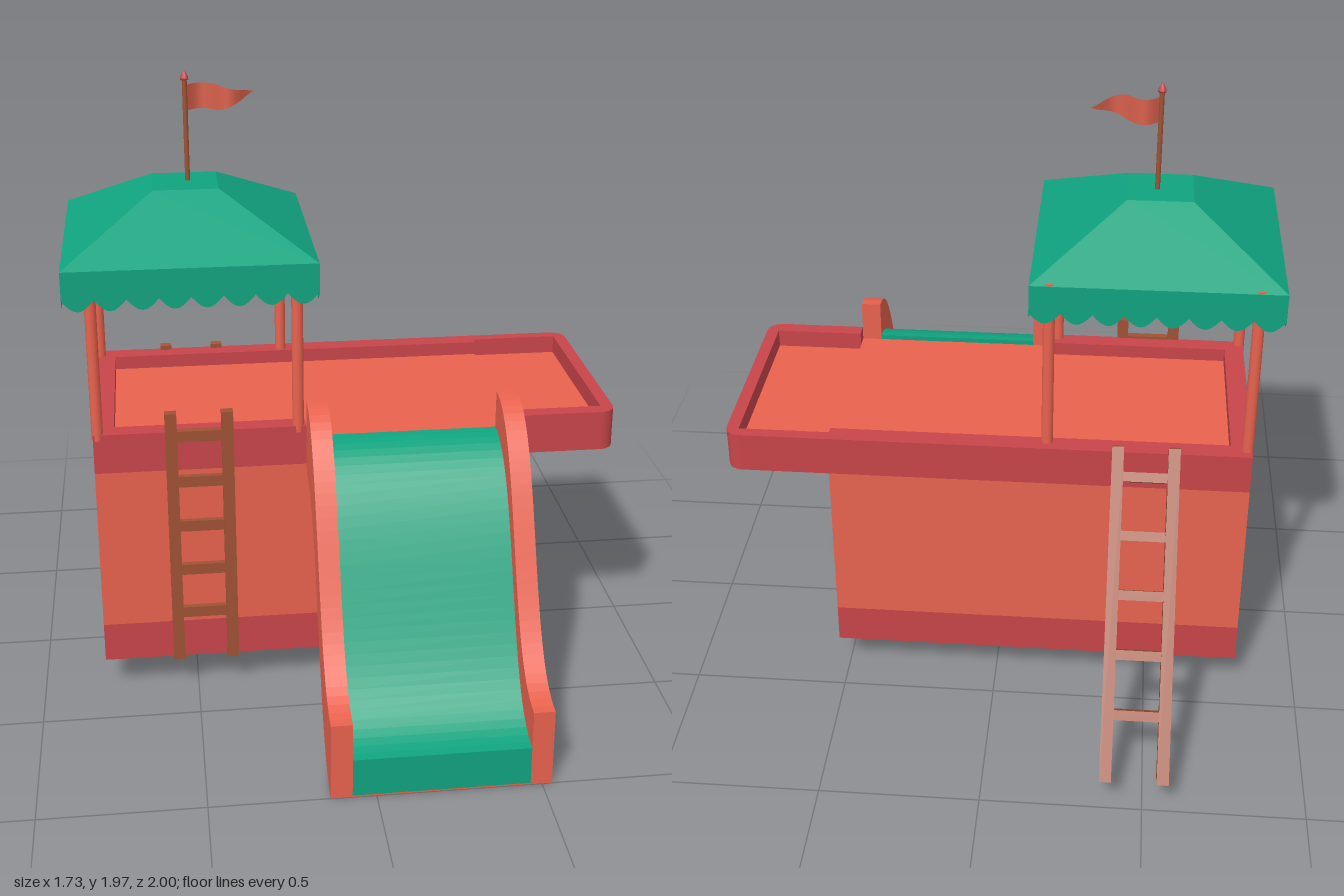
import * as THREE from 'three';

const mat = (color, extra = {}) => new THREE.MeshStandardMaterial({ color, ...extra });
const CORAL = mat(0xe8624e);
const RED = mat(0xc8454a);
const WOOD = mat(0xa05235);
const GREEN = mat(0x10a37f);
const CLOTH = mat(0x10a37f, { side: THREE.DoubleSide, flatShading: true });
const FLAG = mat(0xd9604c, { side: THREE.DoubleSide });

export function createModel() {
  const model = new THREE.Group();

  const add = (name, geometry, material, x = 0, y = 0, z = 0, parent = model) => {
    const mesh = new THREE.Mesh(geometry, material);
    mesh.name = name;
    mesh.position.set(x, y, z);
    parent.add(mesh);
    return mesh;
  };
  // Box given by its limits on each axis
  const box = (name, material, [x0, x1], [y0, y1], [z0, z1], parent) =>
    add(name, new THREE.BoxGeometry(x1 - x0, y1 - y0, z1 - z0), material,
      (x0 + x1) / 2, (y0 + y1) / 2, (z0 + z1) / 2, parent);
  // Side profile of [z, y] points, extruded from x0 to x1
  const extrudeX = (name, material, points, x0, x1, parent) => {
    const shape = new THREE.Shape(points.map(([z, y]) => new THREE.Vector2(-z, y)));
    const g = new THREE.ExtrudeGeometry(shape, { depth: x1 - x0, bevelEnabled: false });
    return add(name, g.rotateY(Math.PI / 2), material, x0, 0, 0, parent);
  };
  // Plan shape drawn in (x, -z), extruded upwards from y0 to y1
  const extrudeY = (name, material, shape, y0, y1) => {
    const g = new THREE.ExtrudeGeometry(shape, { depth: y1 - y0, bevelEnabled: false, curveSegments: 8 });
    return add(name, g.rotateX(-Math.PI / 2), material, 0, y0, 0);
  };

  // Tower body with an arched tunnel, on two red plinths
  const arch = [];
  for (let i = 0; i <= 24; i++) {
    const a = Math.PI * i / 24;
    arch.push([-0.03 - 0.22 * Math.cos(a), 0.42 + 0.22 * Math.sin(a)]);
  }
  extrudeX('towerBody', CORAL,
    [[-0.4, 0.78], [-0.4, 0.24], [-0.25, 0.24], ...arch, [0.19, 0.24], [0.33, 0.24], [0.33, 0.78]], -0.8, 0.53);
  box('backPlinth', RED, [-0.8, 0.53], [0.11, 0.24], [-0.4, -0.25]);
  box('frontPlinth', RED, [-0.8, 0.53], [0.11, 0.24], [0.19, 0.33]);

  // Deck with a parapet left open at the slide, and a rounded overhang
  const roundedEnd = (s) => {
    s.moveTo(0.53, -0.33);
    s.lineTo(0.81, -0.33);
    s.absarc(0.81, -0.28, 0.05, -Math.PI / 2, 0, false);
    s.lineTo(0.86, 0.35);
    s.absarc(0.81, 0.35, 0.05, 0, Math.PI / 2, false);
    return s;
  };
  const rim = roundedEnd(new THREE.Shape());
  [[-0.8, -0.4], [-0.8, 0.33], [-0.137, 0.33], [-0.137, 0.27], [-0.735, 0.27], [-0.735, -0.335],
    [0.53, -0.335], [0.53, -0.36], [0.82, -0.36], [0.82, 0.28], [0.53, 0.28]]
    .forEach(([x, z]) => rim.lineTo(x, -z));
  extrudeY('parapet', RED, rim, 0.78, 0.91);
  const plate = roundedEnd(new THREE.Shape());
  plate.lineTo(0.53, 0.4);
  extrudeY('overhangBase', RED, plate, 0.78, 0.8);
  box('deckFloor', CORAL, [-0.77, 0.53], [0.775, 0.865], [-0.37, 0.329]);
  box('overhangFloor', CORAL, [0.52, 0.83], [0.79, 0.85], [-0.37, 0.3]);

  // Slide: one S curve, shifted down for each layer
  const curve = new THREE.CubicBezierCurve(
    new THREE.Vector2(0.333, 1), new THREE.Vector2(0.65, 1),
    new THREE.Vector2(0.68, 0.25), new THREE.Vector2(1, 0.25)).getPoints(32);
  const layer = (top, bottom) => [
    ...curve.map((p) => [p.x, p.y - top]),
    ...curve.map((p) => [p.x, p.y - bottom]).reverse()];
  const slide = new THREE.Group();
  slide.name = 'slide';
  model.add(slide);
  extrudeX('slideRightSide', CORAL, layer(0, 0.25), -0.137, -0.072, slide);
  extrudeX('slideLeftSide', CORAL, layer(0, 0.25), 0.465, 0.53, slide);
  extrudeX('slideBed', GREEN, layer(0.122, 0.245), -0.072, 0.465, slide);
  extrudeX('slideUnderside', CORAL, layer(0.245, 0.25), -0.072, 0.465, slide);

  // Upright front ladder and leaning back ladder
  const rails = [[-0.578, -0.541], [-0.403, -0.366]];
  const frontLadder = new THREE.Group();
  frontLadder.name = 'frontLadder';
  const backLadder = new THREE.Group();
  backLadder.name = 'backLadder';
  model.add(frontLadder, backLadder);
  for (const [x0, x1] of rails) {
    box('frontLadderRail', WOOD, [x0, x1], [0.11, 0.98], [0.325, 0.355], frontLadder);
    extrudeX('backLadderRail', WOOD,
      [[-0.385, 0.925], [-0.4, 0.93], [-1, 0.105], [-0.94, 0.08], [-0.385, 0.82]], x0, x1, backLadder);
  }
  for (let i = 0; i < 5; i++) {
    const y = 0.28 + 0.155 * i;
    box('frontRung', WOOD, [-0.545, -0.4], [y - 0.018, y + 0.018], [0.325, 0.348], frontLadder);
    const rung = add('backRung', new THREE.BoxGeometry(0.145, 0.03, 0.052), WOOD,
      -0.472, 0.248 + 0.147 * i, -0.855 + 0.107 * i, backLadder);
    rung.rotation.x = 0.63;
  }

  // Canopy posts
  for (const x of [-0.786, -0.161]) {
    for (const z of [-0.356, 0.314]) {
      add('canopyPost', new THREE.CylinderGeometry(0.018, 0.018, 0.58, 16), CORAL, x, 1.18, z);
    }
  }

  // Canopy: flat-topped pyramid with a scalloped skirt
  const canopy = new THREE.Group();
  canopy.name = 'canopy';
  canopy.position.set(-0.483, 1.465, 0.012);
  model.add(canopy);
  const half = 0.383;
  const roof = new THREE.LatheGeometry(
    [[half, 0], [0.102, 0.16], [0, 0.16]].map(([r, y]) => new THREE.Vector2(r * Math.SQRT2, y)), 4);
  add('canopyRoof', roof.rotateY(Math.PI / 4), CLOTH, 0, 0, 0, canopy);
  const skirt = new THREE.Shape();
  skirt.moveTo(half, 0);
  skirt.lineTo(-half, 0);
  const count = 8, step = 2 * half / count;
  for (let i = 0; i < count; i++) {
    const x = -half + step * i;
    for (let k = 0; k <= 8; k++) {
      skirt.lineTo(x + step * k / 8, -0.09 - 0.035 * Math.sin(Math.PI * k / 8));
    }
  }
  for (let i = 0; i < 4; i++) {
    const g = new THREE.ShapeGeometry(skirt).translate(0, 0, half).rotateY(i * Math.PI / 2);
    add('canopySkirt', g, CLOTH, 0, 0, 0, canopy);
  }
  canopy.scale.z = 1.01;

  // Flagpole with a pointed finial
  add('flagpole', new THREE.CylinderGeometry(0.008, 0.008, 0.34, 10), WOOD, -0.473, 1.78, 0);
  const finial = [[0, 0], [0.013, 0.006], [0.013, 0.012], [0.006, 0.026], [0, 0.036]];
  add('finial', new THREE.LatheGeometry(finial.map(([r, y]) => new THREE.Vector2(r, y)), 10),
    RED, -0.473, 1.936, 0);

  // Waving pennant, tapered to a point
  const flag = new THREE.PlaneGeometry(1, 1, 24, 4);
  const p = flag.attributes.position;
  for (let i = 0; i < p.count; i++) {
    const u = p.getX(i) + 0.5, v = p.getY(i) + 0.5;
    const t = Math.max(0, (u - 0.45) / 0.55);
    const low = 1.845 + 0.05 * Math.pow(t, 1.2), high = 1.925 - 0.03 * t;
    p.setXYZ(i, -0.467 + 0.207 * u, low + (high - low) * v, -0.03 * Math.sin(u * 7.5));
  }
  flag.computeVertexNormals();
  add('flag', flag, FLAG);

  return model;
}
